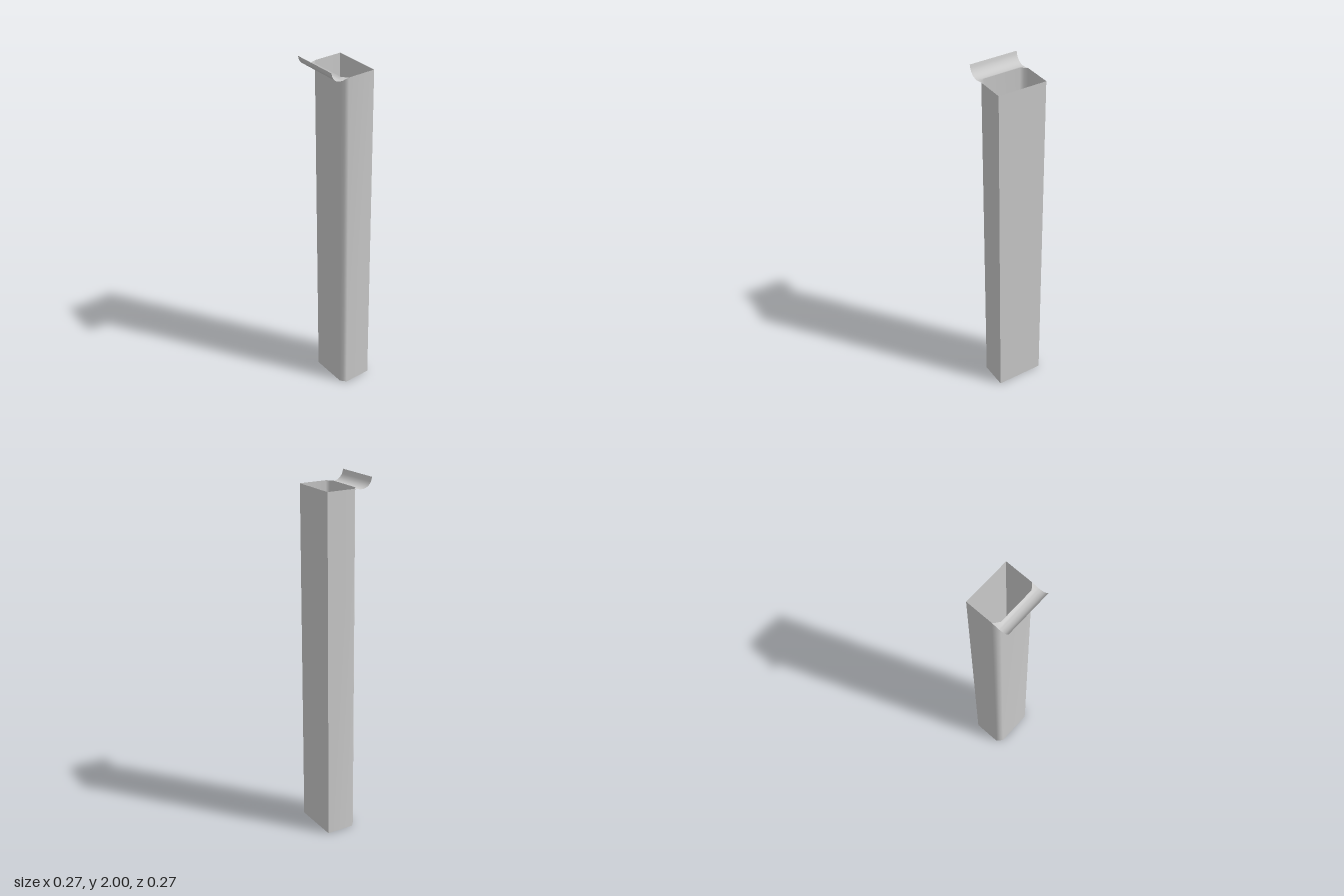
import * as THREE from 'three';

const W = 0.137;      // half width
const TOP = 1.95;     // height of the open tube
const BACK = -0.133, FRONT = 0.052;

// Smooth surface through rows of points with equal counts
function loft(rows) {
  const n = rows[0].length, index = [];
  for (let r = 0; r < rows.length - 1; r++) {
    for (let c = 0; c < n - 1; c++) {
      const a = r * n + c, b = a + n;
      index.push(a, a + 1, b + 1, a, b + 1, b);
    }
  }
  const g = new THREE.BufferGeometry();
  g.setAttribute('position', new THREE.Float32BufferAttribute(rows.flat(2), 3));
  g.setIndex(index);
  g.computeVertexNormals();
  return g;
}

export function createModel() {
  const group = new THREE.Group();
  const material = new THREE.MeshStandardMaterial({ color: 0xcccccc, side: THREE.DoubleSide });
  const add = (name, geometry) => {
    const mesh = new THREE.Mesh(geometry, material);
    mesh.name = name;
    group.add(mesh);
  };

  // Open tube: front and sides are one smooth sheet with softened front corners
  const section = [
    [-W, BACK], [-W, 0.025], [-0.122, 0.04], [-0.105, FRONT],
    [0.105, FRONT], [0.122, 0.04], [W, 0.025], [W, BACK],
  ];
  const ring = (pts, y) => pts.map(([x, z]) => [x, y, z]);
  add('frontAndSideWalls', loft([ring(section, 0), ring(section, TOP)]));

  const back = [[W, BACK], [-W, BACK]];
  add('backWall', loft([ring(back, 0), ring(back, TOP)]));

  // Pouring lip: dips slightly at the rim, then curls up and forward
  const columns = [[-W, 0.025], [-0.122, 0.04], [-0.105, FRONT], [0.105, FRONT], [0.122, 0.04], [W, 0.025]];
  const curl = new THREE.CatmullRomCurve3([
    [0.064, 1.943], [0.088, 1.945], [0.11, 1.956], [0.125, 1.975], [0.133, 2],
  ].map(([z, y]) => new THREE.Vector3(0, y, z))).getPoints(12);
  const lip = [ring(columns, TOP)];
  for (const p of curl) lip.push(columns.map(([x]) => [x, p.y, p.z]));
  // Reverse the rows so the concave side faces up
  add('pouringLip', loft(lip.reverse()));

  return group;
}
